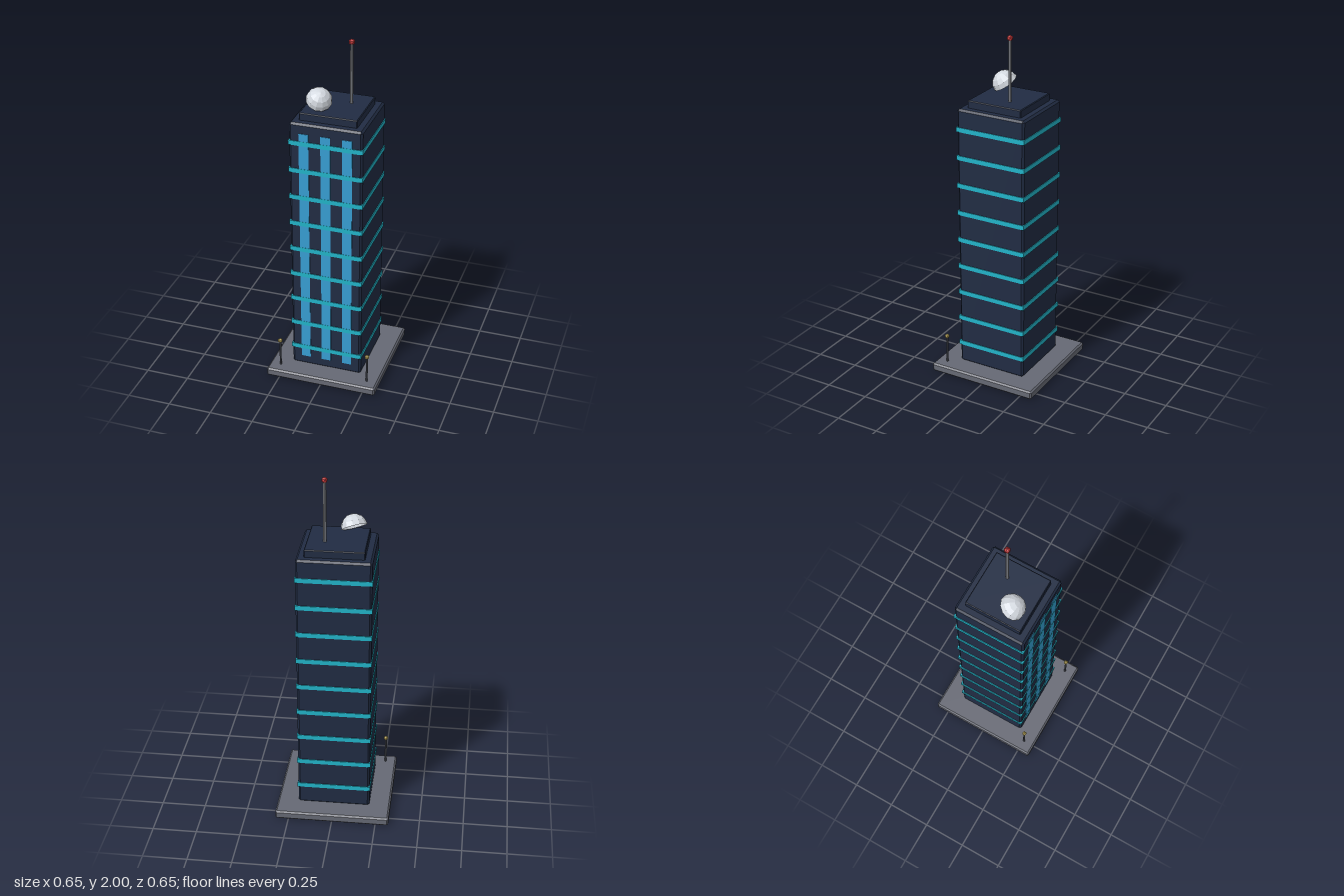
import * as THREE from 'three';
import { ConvexGeometry } from 'three/addons/geometries/ConvexGeometry.js';

const mat = (name, color, extra = {}) => {
  const m = new THREE.MeshStandardMaterial({ color, flatShading: true, ...extra });
  m.name = name;
  return m;
};

// Box standing on y = 0 with all edges chamfered by b
function chamferBox(w, h, d, b) {
  const pts = [];
  for (const sx of [-1, 1]) for (const sy of [-1, 1]) for (const sz of [-1, 1]) {
    const x = w / 2, y = h / 2, z = d / 2;
    for (const [px, py, pz] of [[x, y - b, z - b], [x - b, y, z - b], [x - b, y - b, z]]) {
      pts.push(new THREE.Vector3(sx * px, sy * py + y, sz * pz));
    }
  }
  return new ConvexGeometry(pts);
}

// Faceted ball with a corner pointing straight up
function ball(r) {
  return new THREE.IcosahedronGeometry(r, 0).rotateZ(Math.atan(2 / (1 + Math.sqrt(5))));
}

export function createModel() {
  const model = new THREE.Group();
  model.name = 'skyscraper';

  const paving = mat('paving grey', 0x666974);
  const navy = mat('navy wall', 0x212c43);
  const glass = mat('blue glass', 0x379fd3);
  const teal = mat('teal trim', 0x22b4c9);
  const white = mat('dish white', 0xd2d7de, { side: THREE.DoubleSide });
  const metal = mat('antenna metal', 0x92959b);
  const red = mat('beacon red', 0xd03a3c);
  const dark = mat('lamp post grey', 0x50535d);
  const yellow = mat('lamp yellow', 0xd2bb62);

  const add = (name, geometry, material, x = 0, y = 0, z = 0) => {
    const mesh = new THREE.Mesh(geometry, material);
    mesh.name = name;
    mesh.position.set(x, y, z);
    model.add(mesh);
    return mesh;
  };
  const pole = (name, r, y0, y1, material, x, z) =>
    add(name, new THREE.CylinderGeometry(r, r, y1 - y0, 8), material, x, (y0 + y1) / 2, z);

  // Base slab, tower and raised roof
  add('base', chamferBox(0.65, 0.05, 0.65, 0.009), paving);
  add('tower', chamferBox(0.41, 1.545, 0.41, 0.011), navy, 0, 0.045);
  add('roofCap', chamferBox(0.325, 0.06, 0.325, 0.004), navy, 0, 1.572);

  // Tall window strips on the front
  for (const x of [-0.122, 0, 0.122]) {
    add('windowStrip', new THREE.BoxGeometry(0.055, 1.43, 0.006), glass, x, 0.817, 0.205);
  }

  // Trim bands around every floor
  for (let i = 0; i < 9; i++) {
    add('floorBand', new THREE.BoxGeometry(0.418, 0.026, 0.418), teal, 0, 0.166 + i * 0.1635, 0);
  }

  // Antenna with beacon
  pole('antenna', 0.009, 1.625, 1.975, metal, 0.065, -0.043);
  add('beacon', ball(0.018), red, 0.065, 1.982, -0.043);

  // Tilted open dish, dome side up
  const dish = add('dish',
    new THREE.SphereGeometry(0.072, 12, 4, 0, Math.PI * 2, 0, Math.PI / 2),
    white, -0.081, 1.676, 0.068);
  dish.rotation.set(0.5, 0, -0.3);

  // Street lamps at the front corners
  for (const x of [-0.261, 0.261]) {
    pole('lampPost', 0.006, 0.045, 0.21, dark, x, 0.26);
    add('lampGlobe', ball(0.014), yellow, x, 0.216, 0.26);
  }

  return model;
}
